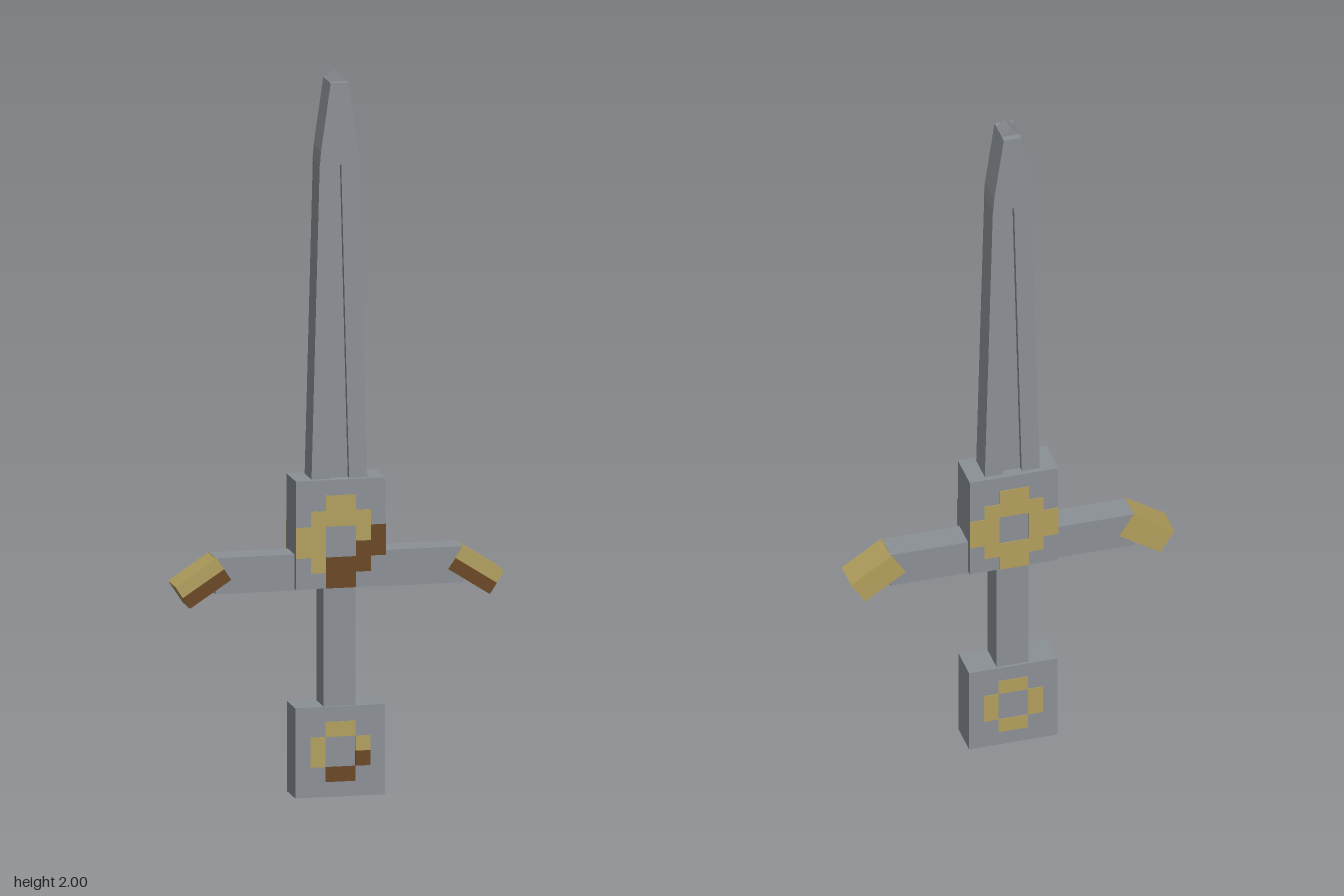
import * as THREE from 'three';

const flat = (name, color) => {
  const m = new THREE.MeshStandardMaterial({ color });
  m.name = name;
  return m;
};

export function createModel() {
  const model = new THREE.Group();
  model.name = 'sword';
  const steel = flat('steel', 0x8c9196);
  const gold = flat('gold', 0xb3a05e);
  const brown = flat('brown', 0x6b4826);

  const add = (parent, name, geometry, material, x = 0, y = 0, z = 0) => {
    const mesh = new THREE.Mesh(geometry, material);
    mesh.name = name;
    mesh.position.set(x, y, z);
    parent.add(mesh);
    return mesh;
  };
  const box = (parent, name, material, w, h, d, x, y, z = 0) =>
    add(parent, name, new THREE.BoxGeometry(w, h, d), material, x, y, z);

  // Flat outline extruded symmetrically about z = 0
  const slab = (name, points, depth) => {
    const shape = new THREE.Shape(points.map(([x, y]) => new THREE.Vector2(x, y)));
    const geometry = new THREE.ExtrudeGeometry(shape, { depth, bevelEnabled: false });
    geometry.translate(0, 0, -depth / 2);
    add(model, name, geometry, steel);
  };

  // Hilt blocks
  box(model, 'pommel', steel, 0.25, 0.25, 0.1, 0, 0.125);
  box(model, 'grip', steel, 0.09, 0.36, 0.084, 0, 0.415);
  box(model, 'guardBlock', steel, 0.25, 0.3, 0.114, 0, 0.73);

  // Blade: two tapered edges around a recessed core, then a solid point
  for (const s of [-1, 1]) {
    slab('bladeEdge', [[0.027 * s, 0.87], [0.078 * s, 0.87], [0.055 * s, 1.75], [0.005 * s, 1.75]], 0.082);
    box(model, 'crossguardArm', steel, 0.24, 0.1, 0.082, 0.225 * s, 0.625);
  }
  slab('bladeCore', [[-0.035, 0.87], [0.035, 0.87], [0.014, 1.75], [-0.014, 1.75]], 0.05);
  slab('bladePoint', [[-0.055, 1.75], [0.055, 1.75], [0.052, 1.79], [0.025, 1.977], [-0.025, 1.977], [-0.052, 1.79]], 0.088);
  slab('bladeTip', [[-0.025, 1.96], [0.025, 1.96], [0.025, 1.977], [0, 2], [-0.025, 1.977]], 0.05);

  // Drooping gold crossguard caps with brown undersides
  for (const s of [-1, 1]) {
    const cap = new THREE.Group();
    cap.name = 'crossguardCap';
    cap.position.set(0.38 * s, 0.6075, 0);
    cap.rotation.z = -0.575 * s;
    model.add(cap);
    add(cap, 'capBody', new THREE.BoxGeometry(0.137, 0.073, 0.09),
      [gold, gold, gold, brown, gold, gold]);
    box(cap, 'capShade', brown, 0.137, 0.036, 0.004, 0, -0.0185, 0.0445);
  }

  // Pixel emblems: G gold, B brown, one character per square
  const emblem = (name, rows, top, z) => {
    const group = new THREE.Group();
    group.name = name;
    model.add(group);
    const w = 0.25 / 6;
    const h = name.startsWith('guard') ? 0.3 / 7 : w;
    rows.forEach((row, r) => {
      for (const run of row.matchAll(/G+|B+/g)) {
        const n = run[0].length;
        box(group, 'inlay', run[0][0] === 'G' ? gold : brown, n * w, h, 0.004,
          (run.index + n / 2 - 3) * w, top - (r + 0.5) * h, z);
      }
    });
  };
  emblem('guardEmblemFront',
    ['......', '..GG..', '.GGGG.', 'GG..GB', 'GG..BB', '.GBBB.', '..BB..'], 0.88, 0.057);
  emblem('guardEmblemBack',
    ['......', '..GG..', '.GGGG.', 'GG..GG', 'GG..GG', '.GGGG.', '..GG..'], 0.88, -0.057);
  emblem('pommelEmblemFront',
    ['......', '..GG..', '.G..G.', '.G..B.', '..BB..', '......'], 0.25, 0.05);
  emblem('pommelEmblemBack',
    ['......', '..GG..', '.G..G.', '.G..G.', '..GG..', '......'], 0.25, -0.05);

  return model;
}
